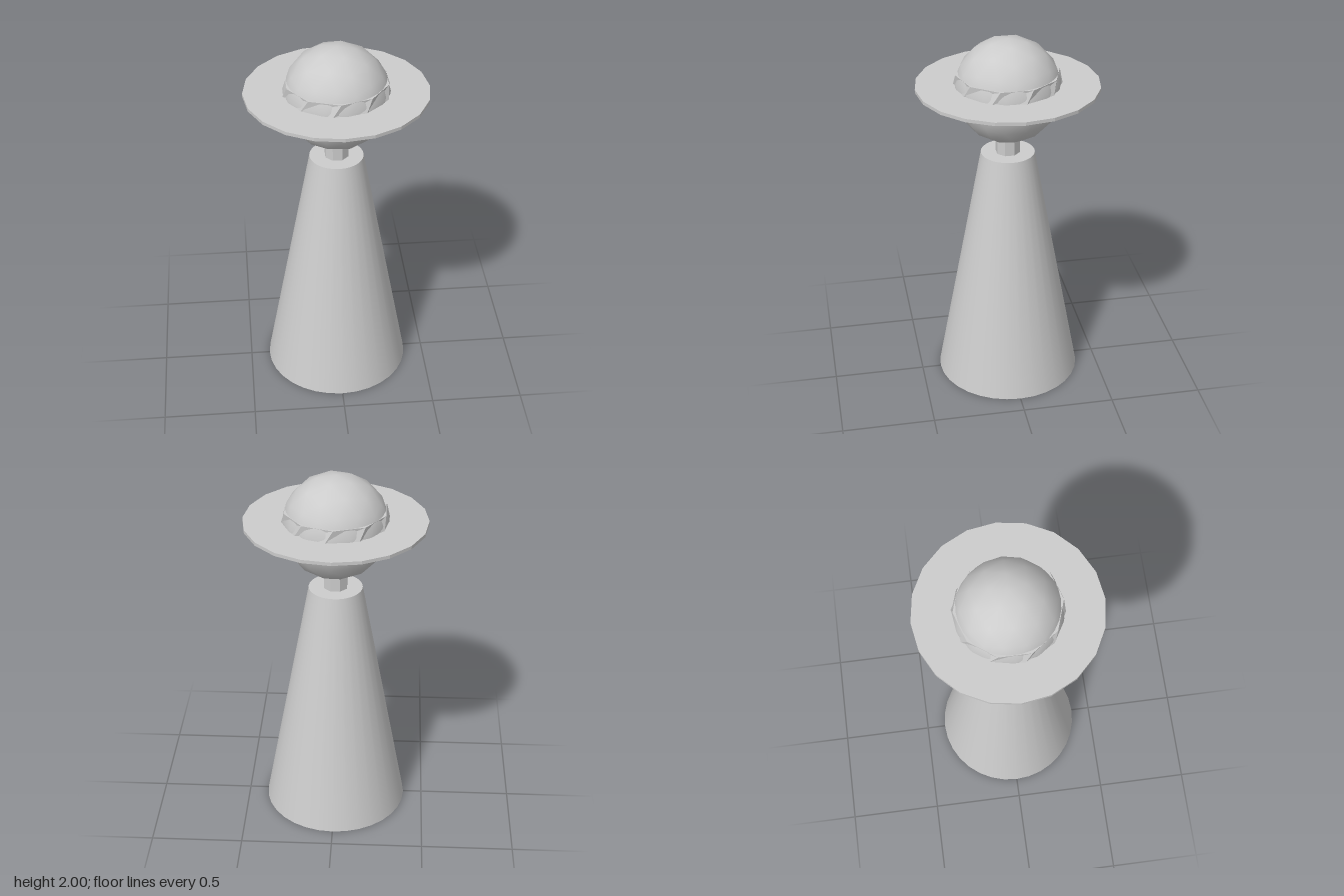
import * as THREE from 'three';

// Give every face its own flat normal
function faceted(geometry) {
  const g = geometry.toNonIndexed();
  g.computeVertexNormals();
  return g;
}

export function createModel() {
  const model = new THREE.Group();
  const grey = new THREE.MeshStandardMaterial({ color: 0xcccccc });
  grey.name = 'light grey';

  const add = (name, geometry, y) => {
    const mesh = new THREE.Mesh(geometry, grey);
    mesh.name = name;
    mesh.position.y = y;
    model.add(mesh);
  };

  // Tapered body and short neck
  add('body', new THREE.CylinderGeometry(0.145, 0.395, 1.355, 32), 0.6775);
  const neck = new THREE.CylinderGeometry(0.066, 0.066, 0.14, 8);
  neck.rotateY(Math.PI / 8);
  add('neck', faceted(neck), 1.41);

  // Coarse round head with one vertex at the crown
  const head = new THREE.IcosahedronGeometry(0.285, 2);
  head.rotateZ(-Math.atan(2 / (1 + Math.sqrt(5))));
  add('head', head, 1.715);

  // Wide thin hat brim
  add('hatBrim', faceted(new THREE.CylinderGeometry(0.487, 0.487, 0.018, 20)), 1.741);

  // Ten-sided hat band, its lower edge twisted and slightly wider
  const band = new THREE.CylinderGeometry(0.276, 0.286, 0.067, 10);
  const p = band.attributes.position;
  const twist = new THREE.Vector3();
  const up = new THREE.Vector3(0, 1, 0);
  for (let i = 0; i < p.count; i++) {
    twist.fromBufferAttribute(p, i);
    if (twist.y < 0) twist.applyAxisAngle(up, -0.148);
    p.setXYZ(i, twist.x, twist.y, twist.z);
  }
  add('hatBand', faceted(band), 1.7815);

  return model;
}
